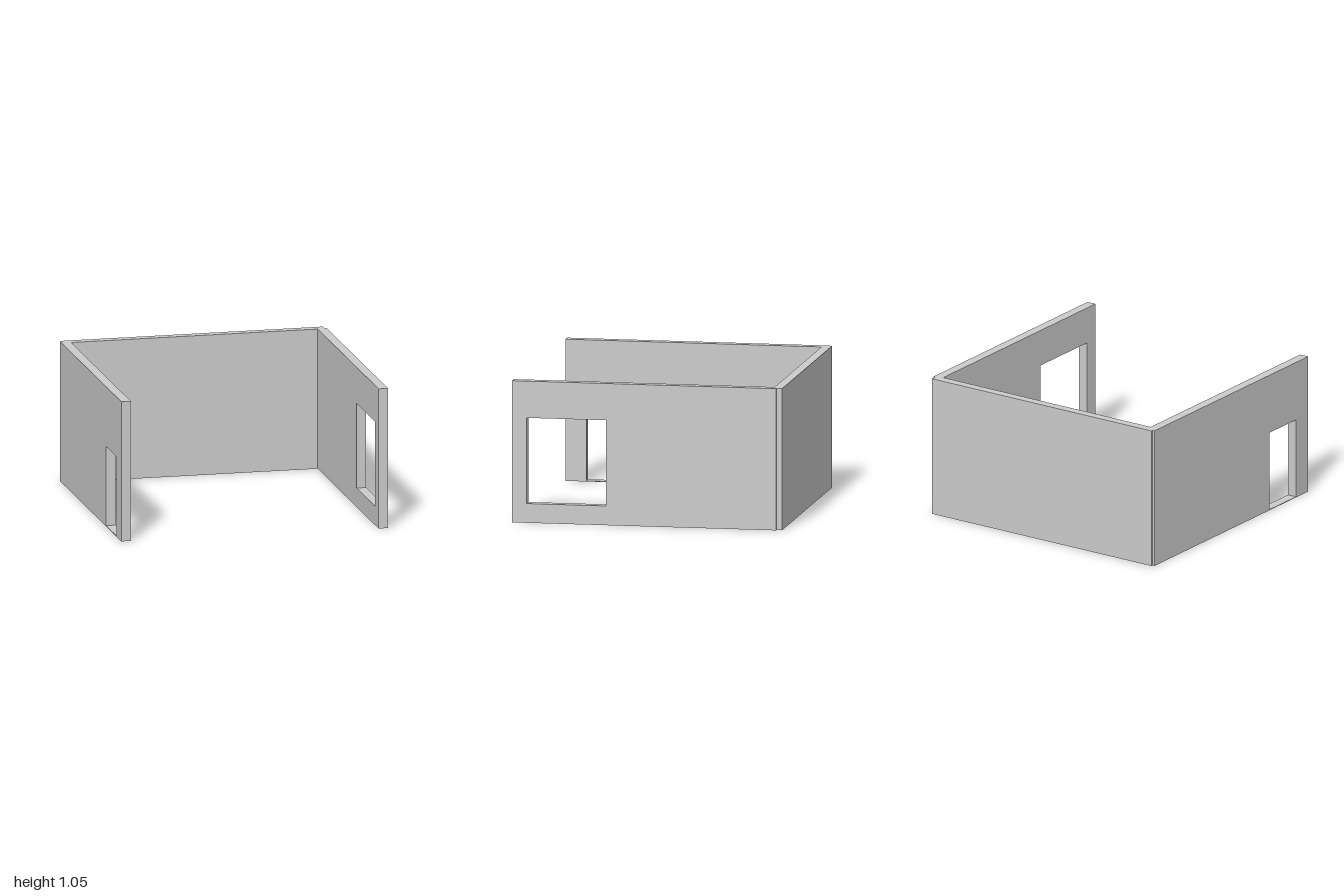
import * as THREE from 'three';

const HEIGHT = 1.046;
const BACK_INNER = -0.933;
const material = new THREE.MeshStandardMaterial({ color: 0xcccccc, flatShading: true });

function outline(points, Type = THREE.Shape) {
  return new Type(points.map(([x, y]) => new THREE.Vector2(x, y)));
}

function rect(a0, b0, a1, b1, Type) {
  return outline([[a0, b0], [a1, b0], [a1, b1], [a0, b1]], Type);
}

function addExtrusion(group, name, shape, depth) {
  const geometry = new THREE.ExtrudeGeometry(shape, { depth, bevelEnabled: false });
  const mesh = new THREE.Mesh(geometry, material);
  mesh.name = name;
  group.add(mesh);
  return mesh;
}

// Side wall drawn in (z, y), with one rectangular opening, extruded along x.
function addSideWall(group, name, x0, x1, zFront, opening) {
  const shape = rect(-zFront, 0, -BACK_INNER, HEIGHT);
  const { z0, z1, y0, y1 } = opening;
  shape.holes.push(rect(-z1, y0, -z0, y1, THREE.Path));
  const wall = addExtrusion(group, name, shape, x1 - x0);
  wall.rotation.y = Math.PI / 2;
  wall.position.x = x0;
}

export function createModel() {
  const group = new THREE.Group();
  group.name = 'threeWalledRoom';

  // Left wall with the large window
  addSideWall(group, 'leftWindowWall', 0.921, 0.992, 1,
    { z0: 0.305, z1: 0.892, y0: 0.142, y1: 0.775 });

  // Right wall, slightly shorter, with the doorway and its thin threshold
  addSideWall(group, 'rightDoorWall', -0.996, -0.925, 0.965,
    { z0: 0.476, z1: 0.81, y0: 0.005, y1: 0.6 });

  // Back wall footprint in (x, -z), with the small steps at its outer corners
  const footprint = outline([
    [-0.996, -BACK_INNER], [0.992, -BACK_INNER], [0.992, 0.957], [0.975, 0.957],
    [0.975, 1], [-0.981, 1], [-0.981, 0.987], [-0.996, 0.987],
  ]);
  addExtrusion(group, 'backWall', footprint, HEIGHT).rotation.x = -Math.PI / 2;

  return group;
}
